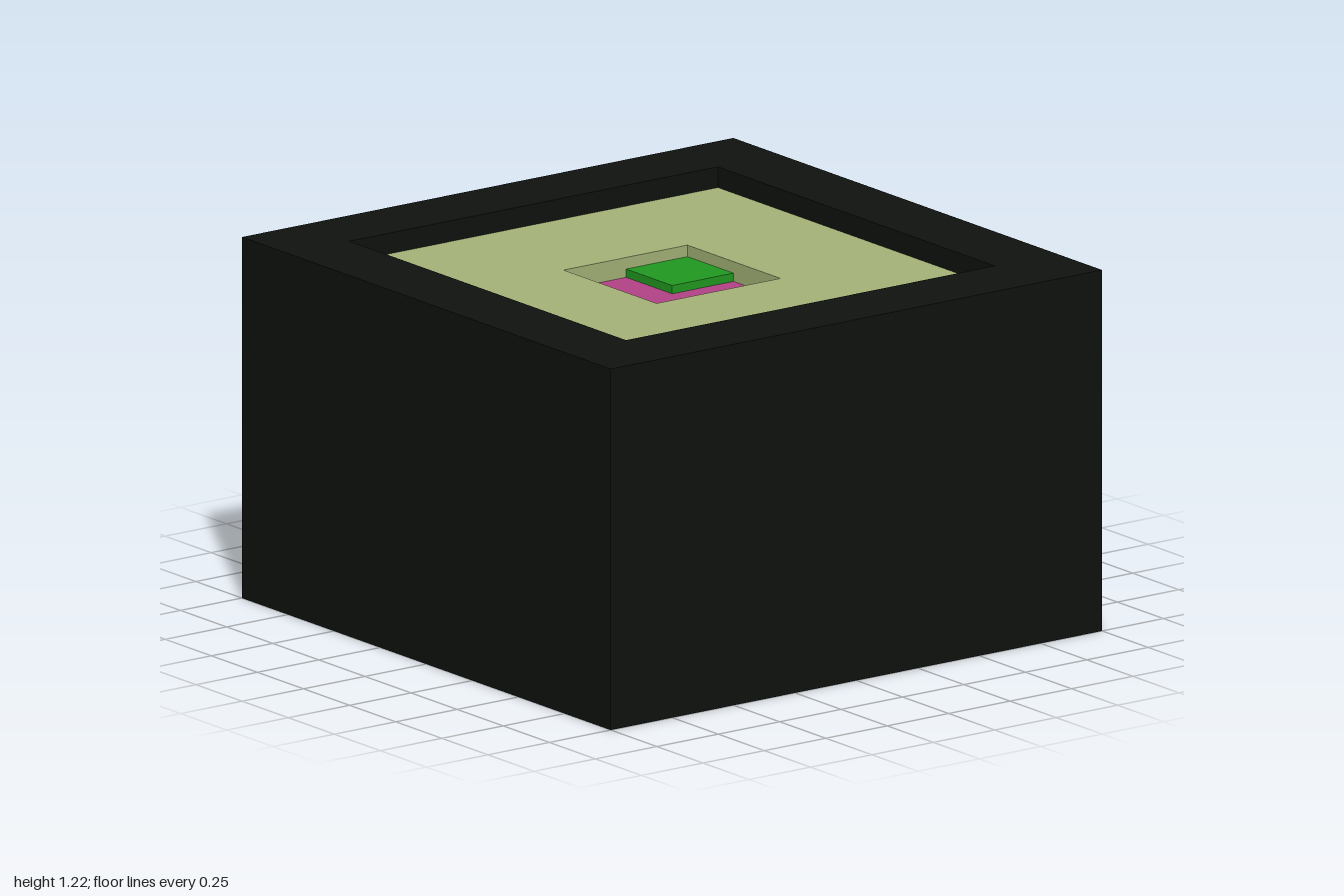
import * as THREE from 'three';

const BLACK = 0x0f120f, OLIVE = 0xa6b478, PINK = 0xb44387, GREEN = 0x219b21;

function part(name, geometry, color) {
  const mesh = new THREE.Mesh(geometry, new THREE.MeshStandardMaterial({ color }));
  mesh.name = name;
  return mesh;
}

// Solid block between heights y0 and y1, centred on (x, z)
function block(name, color, size, y0, y1, x = 0, z = 0) {
  const mesh = part(name, new THREE.BoxGeometry(size, y1 - y0, size), color);
  mesh.position.set(x, (y0 + y1) / 2, z);
  return mesh;
}

function squarePoints(half) {
  return [[-1, -1], [1, -1], [1, 1], [-1, 1]].map(([x, y]) => new THREE.Vector2(x * half, y * half));
}

// Square slab with a square hole, lying flat between y0 and y1
function frame(name, color, outerHalf, innerHalf, y0, y1) {
  const shape = new THREE.Shape(squarePoints(outerHalf));
  shape.holes.push(new THREE.Path(squarePoints(innerHalf).reverse()));
  const geometry = new THREE.ExtrudeGeometry(shape, { depth: y1 - y0, bevelEnabled: false });
  geometry.rotateX(-Math.PI / 2);
  const mesh = part(name, geometry, color);
  mesh.position.y = y0;
  return mesh;
}

export function createModel() {
  const model = new THREE.Group();
  model.name = 'recessedBlock';
  const baseTop = 1.04, pitFloor = 1.083, tileTop = 1.111, panelTop = 1.15, rimTop = 1.22;

  // Dark body with its raised rim
  model.add(block('body', BLACK, 2, 0, baseTop));
  model.add(frame('rim', BLACK, 1, 0.75, baseTop, rimTop));

  // Sunken panel with a square pit in the middle
  model.add(frame('panel', OLIVE, 0.75, 0.252, baseTop, panelTop));
  model.add(block('pitFloor', PINK, 0.504, baseTop, pitFloor));

  // Raised tile in the back right corner of the pit
  model.add(block('cornerTile', GREEN, 0.25, pitFloor, tileTop, -0.127, -0.127));

  return model;
}
